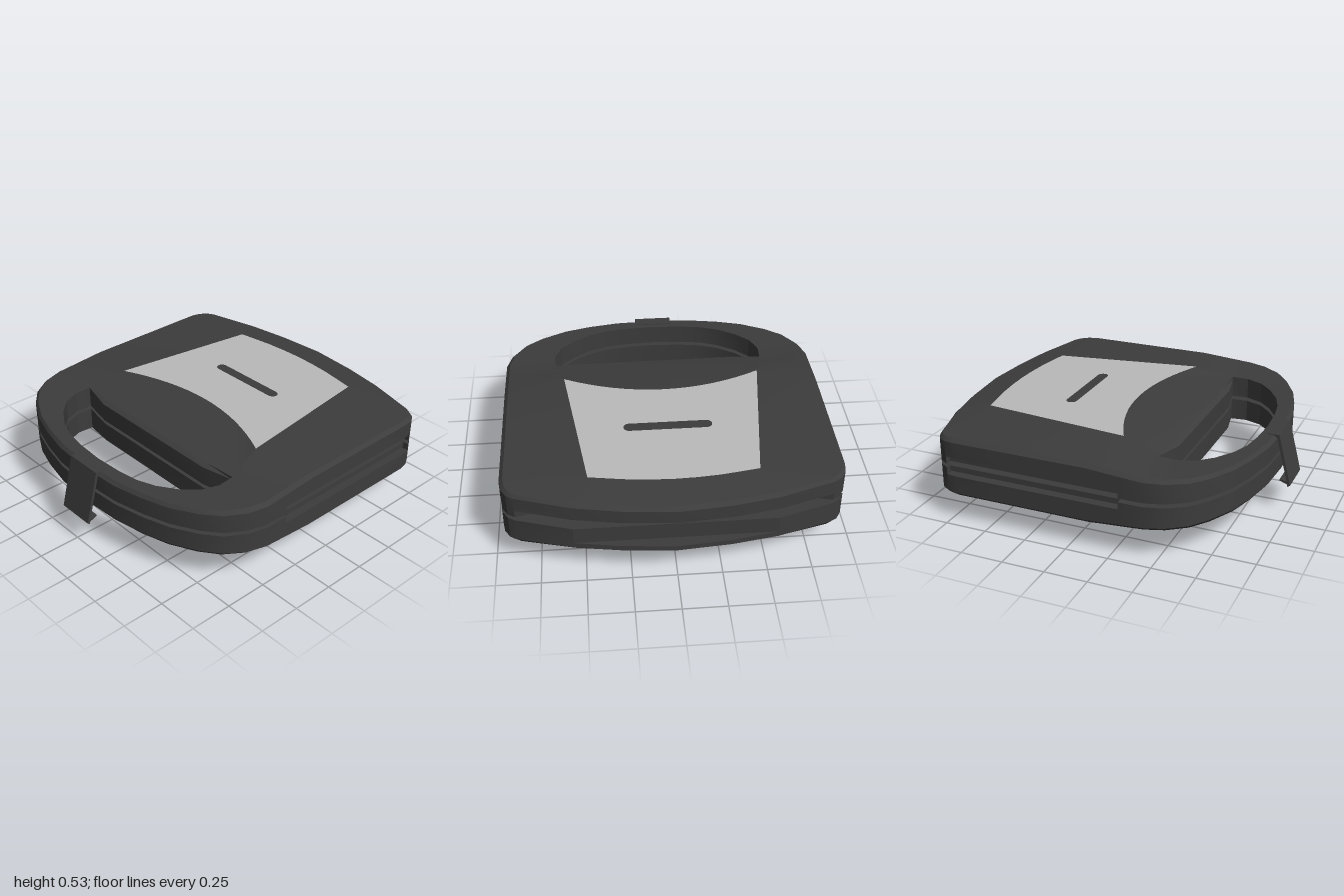
import * as THREE from 'three';
import { toCreasedNormals } from 'three/addons/utils/BufferGeometryUtils.js';

const dark = new THREE.MeshStandardMaterial({ color: 0x3c3c3c, side: THREE.DoubleSide });
dark.name = 'charcoal plastic';
const silver = new THREE.MeshStandardMaterial({ color: 0xbababa, side: THREE.DoubleSide });
silver.name = 'brushed silver';

// Half outline, rear to front: outer x, z, inner x, z, upper rim height, lower rim height
const stations = [
  [0, -1, 0, -0.79, 0.39, 0.22],
  [0.3, -0.975, 0.25, -0.775, 0.39, 0.22],
  [0.56, -0.93, 0.42, -0.747, 0.39, 0.22],
  [0.56, -0.93, 0.42, -0.747, 0.39, 0.322],
  [0.87, -0.835, 0.47, -0.74, 0.39, 0.322],
  [0.87, -0.835, 0.47, -0.74, 0.345, 0.322],
  [0.91, -0.81, 0.472, -0.72, 0.345, 0.322],
  [0.94, -0.76, 0.475, -0.7, 0.345, 0.322],
  [0.94, -0.76, 0.475, -0.7, 0.39, 0.28],
  [0.95, -0.7, 0.48, -0.66, 0.39, 0.28],
  [0.95, -0.3, 0.53, -0.29, 0.39, 0.28],
  [0.95, 0.1, 0.59, 0.17, 0.39, 0.28],
  [0.95, 0.29, 0.617, 0.29, 0.39, 0.28],
  [0.95, 0.29, 0.617, 0.29, 0.345, 0.322],
  [0.95, 0.43, 0.645, 0.4, 0.345, 0.322],
  [0.92, 0.54, 0.65, 0.5, 0.345, 0.322],
  [0.85, 0.65, 0.61, 0.6, 0.345, 0.322],
  [0.75, 0.73, 0.53, 0.68, 0.345, 0.322],
  [0.6, 0.81, 0.42, 0.75, 0.345, 0.322],
  [0.44, 0.86, 0.31, 0.79, 0.345, 0.322],
  [0.25, 0.9, 0.18, 0.81, 0.345, 0.322],
  [0, 0.915, 0, 0.82, 0.345, 0.322],
];

const ramp = (z, pts) => {
  for (let i = 1; i < pts.length; i++) {
    const [z0, y0] = pts[i - 1], [z1, y1] = pts[i];
    if (z <= z1) return y0 + (y1 - y0) * (z - z0) / (z1 - z0);
  }
  return pts[pts.length - 1][1];
};
const outerY = z => ramp(z, [[-1, 0.49], [-0.7, 0.505], [0.1, 0.505], [0.43, 0.482], [0.92, 0.465]]);
const topY = z => 0.514 + 0.013 * (z + 0.79);
const innerY = z => (z < 0.17 ? topY(z) : ramp(z, [[0.17, 0.5265], [0.4, 0.475], [0.82, 0.465]]));
const arcZ = x => 0.02 + 0.15 * (x / 0.59) ** 2;
const panelY = (x, z) => 0.5265 - 0.0515 * (z - arcZ(x)) / (0.405 - arcZ(x));
const underside = y => Math.max(0.14, 0.66 - y);

function add(parent, name, geometry, material = dark, x = 0, y = 0, z = 0) {
  const mesh = new THREE.Mesh(geometry, material);
  mesh.name = name;
  mesh.position.set(x, y, z);
  parent.add(mesh);
  return mesh;
}

// Joins rows of [x, y, z] points into a skin
function skin(rows, closed, flip) {
  const pos = [], idx = [], n = rows[0].length, m = rows.length;
  rows.forEach(r => r.forEach(p => pos.push(...p)));
  for (let i = 0; i < (closed ? m : m - 1); i++) {
    for (let j = 0; j < (closed ? n : n - 1); j++) {
      const i2 = (i + 1) % m, j2 = (j + 1) % n;
      const a = i * n + j, b = i2 * n + j, c = i2 * n + j2, d = i * n + j2;
      if (flip) idx.push(a, b, c, a, c, d);
      else idx.push(a, d, c, a, c, b);
    }
  }
  const g = new THREE.BufferGeometry();
  g.setAttribute('position', new THREE.Float32BufferAttribute(pos, 3));
  g.setIndex(idx);
  return toCreasedNormals(g, 0.4);
}

// Plan shape laid flat with its height given by a rule
function plate(points, heightAt, facesDown, hole) {
  const shape = new THREE.Shape(points.map(p => new THREE.Vector2(...p)));
  if (hole) shape.holes.push(hole);
  const g = new THREE.ShapeGeometry(shape, 10), p = g.attributes.position, index = g.index;
  for (let i = 0; i < p.count; i++) {
    const x = p.getX(i), z = p.getY(i);
    p.setXYZ(i, x, heightAt(x, z), z);
  }
  if (!facesDown) {
    for (let i = 0; i < index.count; i += 3) {
      const t = index.getX(i);
      index.setX(i, index.getX(i + 2));
      index.setX(i + 2, t);
    }
  }
  g.computeVertexNormals();
  return g;
}

const arc = [];
for (let i = 0; i <= 16; i++) {
  const x = 0.59 - 1.18 * i / 16;
  arc.push([x, arcZ(x)]);
}
const rear = [[-0.47, -0.74], [-0.36, -0.758], [-0.25, -0.775], [-0.12, -0.786], [0, -0.79],
  [0.12, -0.786], [0.25, -0.775], [0.36, -0.758], [0.47, -0.74]];
const centre = [...rear, ...arc];
const slope = [...arc, [-0.645, 0.4], [-0.45, 0.41], [0.45, 0.41], [0.645, 0.4]];

// One half of the clamshell; the lower one is turned upside down
function shell(name, lower) {
  const g = new THREE.Group();
  g.name = name;
  const Y = lower ? underside : y => y;
  const section = ([ox, oz, ix, iz, bu, bl], side) => {
    const b = lower ? bl : bu, k = 0.022 / Math.hypot(ox - ix, oz - iz);
    const y = outerY(oz);
    return [
      [ox * side, b, oz],
      [ox * side, Y(y - 0.02), oz],
      [(ox + (ix - ox) * k) * side, Y(y), oz + (iz - oz) * k],
      [ix * side, Y(innerY(iz)), iz],
      [ix * side, b, iz],
    ];
  };
  const loop = [
    ...stations.map(s => section(s, 1)),
    ...stations.slice(1, -1).reverse().map(s => section(s, -1)),
  ];
  add(g, 'outerRing', skin(loop, true, lower));
  add(g, 'centrePanel', plate(centre, (x, z) => Y(topY(z)), lower));
  add(g, 'slopedPanel', plate(slope, (x, z) => Y(panelY(x, z)), lower));

  // Wall behind the handle opening and the rim below it
  const rim = lower ? 0.322 : 0.345;
  const wall = [[-0.645, 0.4, 0.4], [-0.45, 0.41, 0.44], [0.45, 0.41, 0.44], [0.645, 0.4, 0.4]]
    .map(([x, z0, z1]) => [[x, Y(panelY(x, z0)), z0], [x, Y(0.458), z1], [x, rim, z1]]);
  add(g, 'handleWall', skin(wall, false, lower));
  add(g, 'frontRim', plate([[-0.617, 0.29], [0.617, 0.29], [0.645, 0.4], [0.45, 0.44], [-0.45, 0.44],
    [-0.645, 0.4]], () => rim, !lower));

  // Cooking plate
  add(g, 'cookingPlate', new THREE.BoxGeometry(1.82, 0.033, 1.04), dark, 0, lower ? 0.304 : 0.366, -0.235);
  return g;
}

export function createModel() {
  const model = new THREE.Group();
  model.name = 'sandwichPress';
  model.add(shell('upperShell', false), shell('lowerShell', true));

  // Silver lid panel with a rounded slot
  const slot = new THREE.Path();
  slot.absarc(0.222, -0.328, 0.033, -Math.PI / 2, Math.PI / 2, false);
  slot.absarc(-0.222, -0.328, 0.033, Math.PI / 2, Math.PI * 1.5, false);
  slot.closePath();
  add(model, 'lidPanel', plate(centre, (x, z) => topY(z) + 0.005, false, slot), silver);

  // Hinge block and barrel
  add(model, 'hingeBlock', new THREE.BoxGeometry(1.12, 0.12, 0.19), dark, 0, 0.262, -0.835);
  for (const [x, length] of [[0, 0.305], [-0.204, 0.092], [0.204, 0.092]]) {
    const barrel = add(model, 'hingeBarrel', new THREE.CylinderGeometry(0.038, 0.038, length, 20), dark, x, 0.354, -0.885);
    barrel.rotation.z = Math.PI / 2;
  }

  // Front latch with a hooked lower end
  const profile = new THREE.Shape([[0.85, 0.47], [0.92, 0.47], [1, 0.165], [0.985, 0.155], [0.982, 0.17],
    [0.935, 0.188], [0.937, 0.196], [0.978, 0.19], [0.908, 0.45], [0.85, 0.45]]
    .map(([z, y]) => new THREE.Vector2(-z, y)));
  const latch = new THREE.ExtrudeGeometry(profile, { depth: 0.23, bevelEnabled: false });
  latch.translate(0, 0, -0.115).rotateY(Math.PI / 2);
  add(model, 'latch', latch);

  // Tapered feet
  for (const x of [-0.58, 0.58]) {
    for (const z of [0.09, -0.67]) {
      add(model, 'foot', new THREE.CylinderGeometry(0.092, 0.045, 0.15, 20), dark, x, 0.075, z);
    }
  }
  return model;
}
